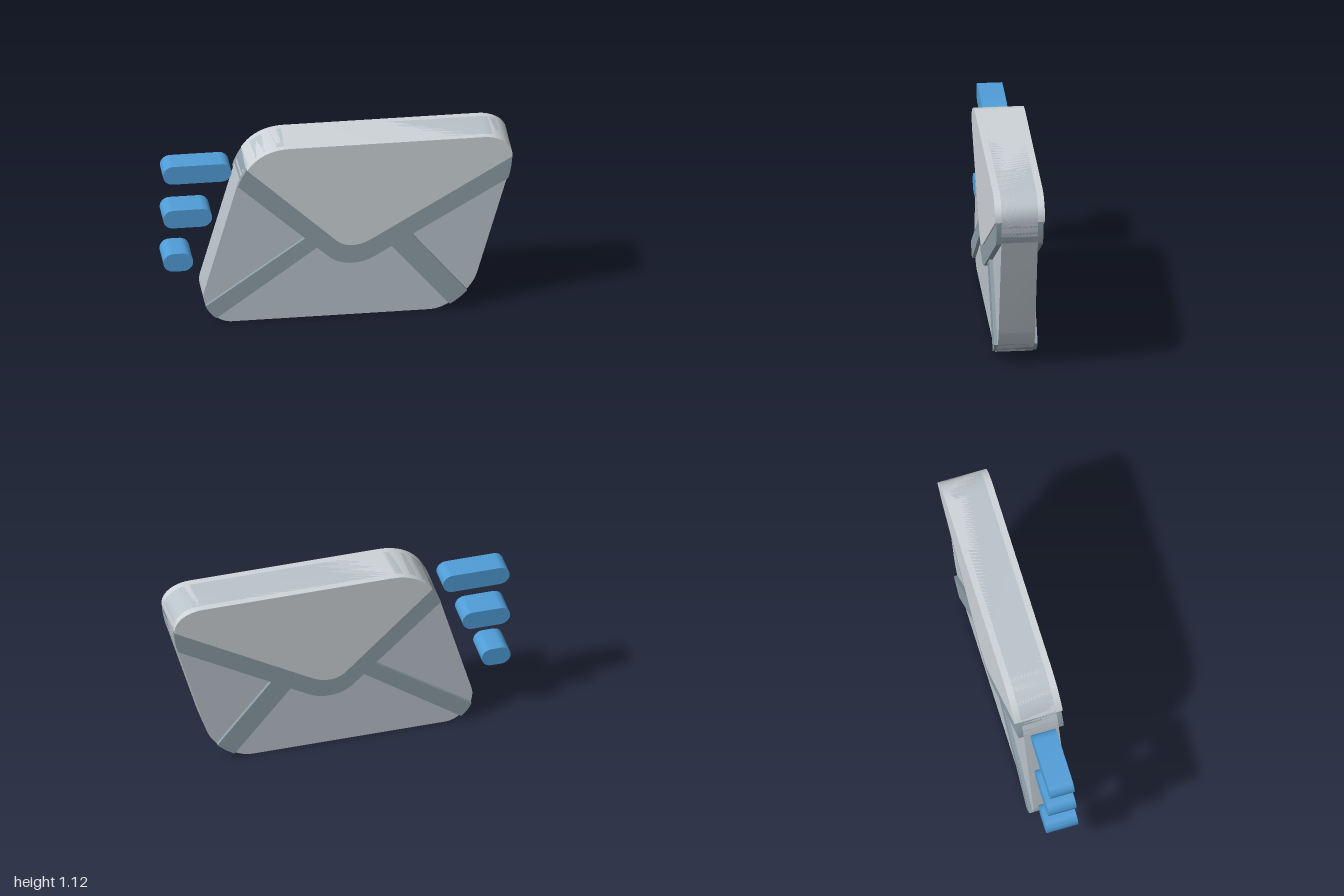
import * as THREE from 'three';
import { toCreasedNormals } from 'three/addons/utils/BufferGeometryUtils.js';

const mat = (color) => new THREE.MeshStandardMaterial({ color });
const paper = mat(0xb9c3ca), seam = mat(0x8c9ca6), light = mat(0xcdd3d7), blue = mat(0x4f9cd6);

// Path steps: 2 numbers = line, 4 = quadratic curve, 6 = cubic curve.
function outline(start, ...steps) {
  const s = new THREE.Shape();
  s.moveTo(...start);
  for (const p of steps) {
    if (p.length === 2) s.lineTo(...p);
    else if (p.length === 4) s.quadraticCurveTo(...p);
    else s.bezierCurveTo(...p);
  }
  return s;
}

// Slab of the given shape, centred on z = 0, with sharp rims and smooth curves.
function slab(name, shape, half, material) {
  const geo = new THREE.ExtrudeGeometry(shape, { depth: 2 * half, bevelEnabled: false, curveSegments: 10 });
  geo.translate(0, 0, -half);
  const mesh = new THREE.Mesh(toCreasedNormals(geo, 0.6), material);
  mesh.name = name;
  return mesh;
}

// Corner pieces shared by the body and the slabs laid over it
const bottomLeftTip = [-0.742, 0.07, -0.762, 0.118];
const bottomRightTip = [0.69, 0.07, 0.735, 0.118];
const rightShoulder = [0.99, 0.91, 0.993, 0.984];
const topRight = [0.998, 1.06, 0.93, 1.12, 0.826, 1.12];
const topLeft = [-0.39, 1.12, -0.475, 1.075, -0.527, 0.995];
const leftShoulder = [-0.563, 0.94, -0.578, 0.887];

export function createModel() {
  const group = new THREE.Group();
  const envelope = new THREE.Group();
  envelope.name = 'envelope';
  group.add(envelope);

  // Slanted body with rounded corners
  envelope.add(slab('body', outline([-0.607, 0], [0.516, 0],
    [0.58, 0, 0.634, 0.037], bottomRightTip, [0.776, 0.165, 0.794, 0.22],
    [0.97, 0.84], rightShoulder, topRight, [-0.286, 1.12], topLeft, leftShoulder,
    [-0.767, 0.21], [-0.778, 0.165, -0.762, 0.118],
    [-0.742, 0.07, -0.70, 0.037], [-0.66, 0, -0.607, 0]), 0.104, paper));

  // Diagonal seams from the lower corners to the flap
  envelope.add(slab('leftSeam', outline([-0.70, 0.037], [-0.11, 0.467], [-0.17, 0.538],
    [-0.762, 0.118], [-0.742, 0.07, -0.70, 0.037]), 0.124, seam));
  envelope.add(slab('rightSeam', outline([0.634, 0.037], bottomRightTip,
    [0.40, 0.53], [0.29, 0.455]), 0.124, seam));

  // V-shaped border under the flap
  envelope.add(slab('flapBorder', outline([-0.578, 0.887], [-0.05, 0.392],
    [0.005, 0.35, 0.078, 0.35], [0.152, 0.35, 0.222, 0.396],
    [0.97, 0.84], rightShoulder, [0.195, 0.508], [0.135, 0.47, 0.078, 0.47],
    [0.025, 0.47, -0.013, 0.503], [-0.527, 0.995], leftShoulder), 0.134, seam));

  // Closed flap
  envelope.add(slab('flap', outline([-0.013, 0.503], [0.025, 0.47, 0.078, 0.47],
    [0.135, 0.47, 0.195, 0.508], [0.993, 0.984], topRight, [-0.286, 1.12], topLeft,
    [-0.013, 0.503]), 0.143, light));

  // Speed dashes: right end, centre height, half depth
  const r = 0.057;
  [[-0.608, 0.952, 0.072], [-0.72, 0.673, 0.083], [-0.83, 0.397, 0.093]].forEach(([end, y, half], i) => {
    const s = new THREE.Shape();
    s.absarc(end - r, y, r, -Math.PI / 2, Math.PI / 2);
    s.absarc(-1 + r, y, r, Math.PI / 2, Math.PI * 1.5);
    group.add(slab(`speedDash${i + 1}`, s, half, blue));
  });
  return group;
}
